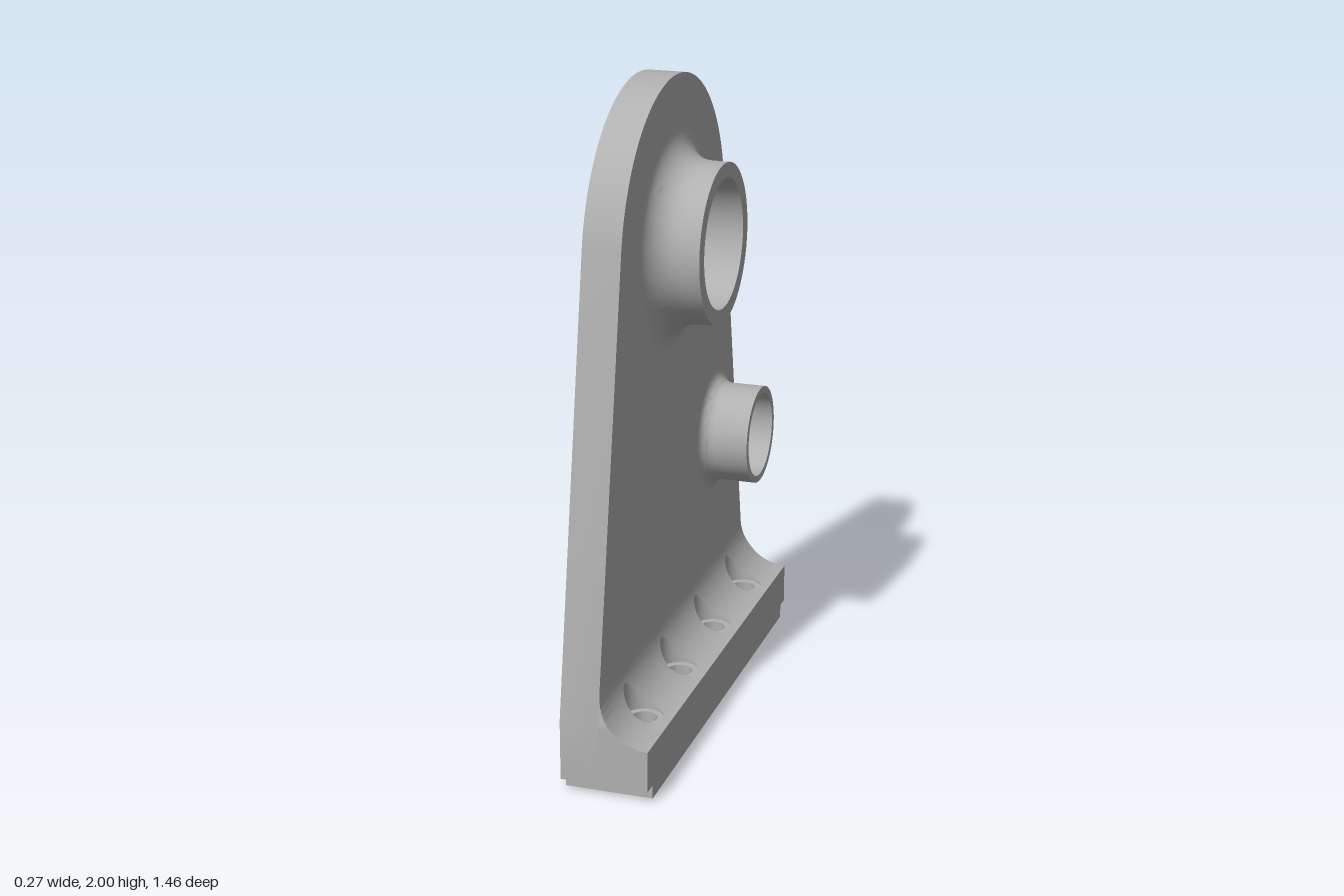
import * as THREE from 'three';
import { toCreasedNormals } from 'three/addons/utils/BufferGeometryUtils.js';
import { ParametricGeometry } from 'three/addons/geometries/ParametricGeometry.js';

// Built facing +z, then the whole bracket is turned to face +x.
const BACK = -0.136, FACE = -0.018, FRONT = 0.134; // plate back, plate face, base/boss front
const HALF = 0.73, FOOT = 0.685, LEDGE = 0.043, TOP = 0.17; // base sizes
const R = FRONT - FACE; // large fillet between base and plate
const HOLE_Z = 0.05, BORE = 0.04, SPOT = 0.06;
const HOLES = [-0.515, -0.172, 0.172, 0.515];
const PATCH = 0.09;

const steel = new THREE.MeshStandardMaterial({ color: 0xb0b0b0 });
steel.name = 'steel grey';

const BOSSES = [
  { name: 'largeBoss', x: 0, y: 1.5, r: 0.245, fillet: 0.095, bore: 0.198, hole: 0.105, floor: 0 },
  { name: 'smallBoss', x: 0.415, y: 0.755, r: 0.157, fillet: 0.042, bore: 0.135, hole: 0.086, floor: -0.05 },
];

const halfWidth = (y) => (y <= 0.23 ? HALF : HALF - 0.1763 * (y - 0.23));
const filletZ = (t) => FRONT - R * Math.cos(t * Math.PI / 2);
const filletY = (t) => TOP + R - R * Math.sin(t * Math.PI / 2);
const filletT = (z) => Math.acos(Math.min(1, (FRONT - z) / R)) / (Math.PI / 2);

function circle(x, y, r) {
  const p = new THREE.Path();
  p.absarc(x, y, r, 0, Math.PI * 2, true);
  return p;
}

function mesh(name, geometry) {
  const m = new THREE.Mesh(geometry, steel);
  m.name = name;
  return m;
}

// Tapered plate with rounded top and stepped foot
function plate() {
  const s = new THREE.Shape();
  s.moveTo(-FOOT, 0);
  s.lineTo(FOOT, 0);
  s.lineTo(FOOT, LEDGE);
  s.lineTo(HALF, LEDGE);
  s.lineTo(HALF, 0.23);
  const a = Math.PI / 18;
  s.absarc(0, 1.5, 0.5, a, Math.PI - a, false);
  s.lineTo(-HALF, 0.23);
  s.lineTo(-HALF, LEDGE);
  s.lineTo(-FOOT, LEDGE);
  for (const b of BOSSES) s.holes.push(circle(b.x, b.y, b.r + b.fillet));
  const g = new THREE.ExtrudeGeometry(s, { depth: FACE - BACK, bevelEnabled: false, curveSegments: 32 });
  g.translate(0, 0, BACK);
  return mesh('plate', toCreasedNormals(g, 0.5));
}

// Boss turned as one profile: back ring, fillet, rim, counterbore, through hole
function boss({ name, x, y, r, fillet, bore, hole, floor }) {
  const pts = [[hole, BACK], [r + fillet, BACK], [r + fillet, FACE]];
  for (let i = 1; i <= 10; i++) {
    const a = i / 10 * Math.PI / 2;
    pts.push([r + fillet - fillet * Math.sin(a), FACE + fillet - fillet * Math.cos(a)]);
  }
  pts.push([r, FRONT], [bore, FRONT], [bore, floor], [hole, floor], [hole, BACK]);
  const g = new THREE.LatheGeometry(pts.map((p) => new THREE.Vector2(...p)), 64);
  g.rotateX(Math.PI / 2);
  const m = mesh(name, toCreasedNormals(g, 0.5));
  m.position.set(x, y, 0);
  return m;
}

// Horizontal slab of the base, drilled by the bolt holes
function slab(name, half, y0, y1) {
  const s = new THREE.Shape();
  s.moveTo(-half, -FRONT);
  s.lineTo(half, -FRONT);
  s.lineTo(half, -FACE);
  s.lineTo(-half, -FACE);
  for (const x of HOLES) s.holes.push(circle(x, -HOLE_Z, BORE));
  const g = new THREE.ExtrudeGeometry(s, { depth: y1 - y0, bevelEnabled: false, curveSegments: 20 });
  g.rotateX(-Math.PI / 2);
  g.translate(0, y0, 0);
  return mesh(name, toCreasedNormals(g, 0.5));
}

// Point on the fillet surface, trimmed to the plate's edge
function onFillet(x, t, target) {
  const y = filletY(t), h = halfWidth(y);
  target.set(Math.max(-h, Math.min(h, x)), y, filletZ(t));
}

// Plain length of fillet between bolt holes
function filletStrip(x0, x1) {
  return mesh('filletStrip', new ParametricGeometry((t, v, p) =>
    onFillet(x0 + (x1 - x0) * v, t, p), 12, 1));
}

// Length of fillet around a bolt hole, running from spot face circle to rectangle
function filletPatch(x) {
  return mesh('filletPatch', new ParametricGeometry((a, b, p) => {
    const side = Math.min(3, Math.floor(a * 4)), f = 2 * (a * 4 - side) - 1;
    const [sx, st] = [[1, f], [-f, 1], [-1, -f], [f, -1]][side];
    const ang = Math.atan2(st, sx);
    const t0 = filletT(HOLE_Z + SPOT * Math.sin(ang));
    onFillet(x + THREE.MathUtils.lerp(SPOT * Math.cos(ang), PATCH * sx, b),
      THREE.MathUtils.lerp(t0, (st + 1) / 2, b), p);
  }, 48, 6));
}

// Wall cut into the fillet by the spot face
function spotWall(x) {
  return mesh('spotFaceWall', new ParametricGeometry((a, b, p) => {
    const ang = a * Math.PI * 2, z = HOLE_Z + SPOT * Math.sin(ang);
    p.set(x + SPOT * Math.cos(ang), TOP + b * (filletY(filletT(z)) - TOP), z);
  }, 48, 2));
}

// End face under the fillet
function filletEnd(side) {
  return mesh('filletEnd', new ParametricGeometry((u, b, p) => {
    const t = side < 0 ? u : 1 - u;
    const y = TOP + b * (filletY(t) - TOP);
    p.set(side * halfWidth(y), y, filletZ(t));
  }, 12, 10));
}

export function createModel() {
  const bracket = new THREE.Group();
  bracket.name = 'bracketBody';
  bracket.add(plate(), ...BOSSES.map(boss));

  const base = new THREE.Group();
  base.name = 'base';
  base.add(slab('foot', FOOT, 0, LEDGE), slab('baseBar', HALF, LEDGE, TOP));
  let x = -HALF;
  for (const h of HOLES) {
    base.add(filletStrip(x, h - PATCH), filletPatch(h), spotWall(h));
    x = h + PATCH;
  }
  base.add(filletStrip(x, HALF), filletEnd(-1), filletEnd(1));
  bracket.add(base);

  bracket.rotation.y = Math.PI / 2;
  const model = new THREE.Group();
  model.name = 'bracket';
  model.add(bracket);
  return model;
}
